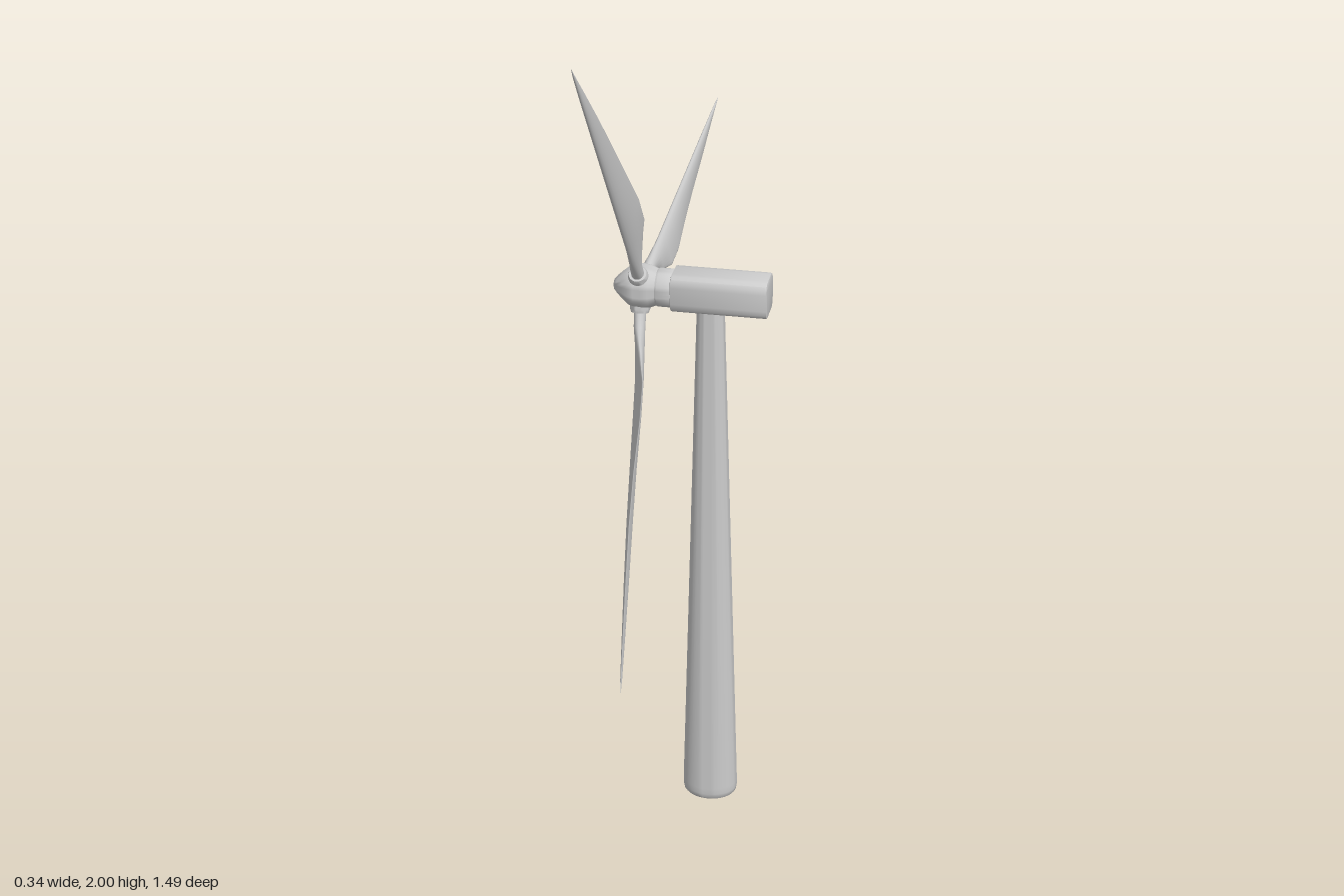
import * as THREE from 'three';
import { toCreasedNormals } from 'three/addons/utils/BufferGeometryUtils.js';

const AXIS_Y = 1.294, AXIS_Z = 0.163, ROTOR_X = -0.11;
const grey = new THREE.MeshStandardMaterial({ color: 0xcccccc });

function part(name, geometry, parent) {
  const mesh = new THREE.Mesh(geometry, grey);
  mesh.name = name;
  parent.add(mesh);
  return mesh;
}

// Revolve [radius, height] pairs, keeping sharp corners
function turned(profile, sides) {
  const points = profile.map(([r, h]) => new THREE.Vector2(r, h));
  return toCreasedNormals(new THREE.LatheGeometry(points, sides), 0.7);
}

// Square with rounded corners, extruded with a small bevel
function nacelleGeometry(length, w, h, corner, bevel) {
  const s = new THREE.Shape();
  const a = w / 2 - bevel, b = h / 2 - bevel, c = corner;
  s.moveTo(-a + c, -b);
  s.lineTo(a - c, -b).quadraticCurveTo(a, -b, a, -b + c);
  s.lineTo(a, b - c).quadraticCurveTo(a, b, a - c, b);
  s.lineTo(-a + c, b).quadraticCurveTo(-a, b, -a, b - c);
  s.lineTo(-a, -b + c).quadraticCurveTo(-a, -b, -a + c, -b);
  const g = new THREE.ExtrudeGeometry(s, {
    depth: length - 2 * bevel, bevelSize: bevel, bevelThickness: bevel,
    bevelSegments: 2, curveSegments: 4,
  });
  g.center();
  g.rotateY(Math.PI / 2);
  return toCreasedNormals(g, 0.6);
}

// Blade pointing up: airfoil loops lofted from the round root to the tip
function bladeGeometry() {
  // radius, leading edge, trailing edge, half thickness, twist
  const stations = [
    [0.04, 0.014, 0.014, 0.014, 0],
    [0.09, 0.015, 0.018, 0.013, 0.002],
    [0.14, 0.015, 0.042, 0.013, 0.014],
    [0.20, 0.013, 0.060, 0.012, 0.026],
    [0.28, 0.012, 0.065, 0.012, 0.025],
    [0.40, 0.010, 0.061, 0.011, 0.016],
    [0.52, 0.008, 0.052, 0.010, 0.010],
    [0.66, 0.006, 0.037, 0.008, 0.006],
    [0.80, 0.004, 0.018, 0.005, 0.002],
    [0.88, 0.002, 0.006, 0.003, 0],
    [0.912, 0.0005, 0.0005, 0.0005, 0],
  ];
  const n = 20, pos = [], idx = [];
  stations.forEach(([r, lead, trail, thick, twist], j) => {
    const flat = THREE.MathUtils.smoothstep(r, 0.07, 0.2);
    for (let i = 0; i < n; i++) {
      const t = (i / n) * Math.PI * 2;
      const f = (1 - Math.cos(t)) / 2;
      const taper = 1 - flat * 0.75 * f;
      pos.push(thick * Math.sin(t) * taper + twist * f, r, lead - (lead + trail) * f);
      if (j > 0) {
        const a = (j - 1) * n + i, b = (j - 1) * n + (i + 1) % n;
        idx.push(a, a + n, b, b, a + n, b + n);
      }
    }
  });
  // Close the tip
  const top = (stations.length - 1) * n;
  for (let i = 1; i < n - 1; i++) idx.push(top, top + i + 1, top + i);
  const g = new THREE.BufferGeometry();
  g.setAttribute('position', new THREE.Float32BufferAttribute(pos, 3));
  g.setIndex(idx);
  // Make the faces point outward
  const p = g.attributes.position, A = new THREE.Vector3(), B = new THREE.Vector3(), C = new THREE.Vector3();
  let volume = 0;
  for (let k = 0; k < idx.length; k += 3) {
    A.fromBufferAttribute(p, idx[k]);
    B.fromBufferAttribute(p, idx[k + 1]);
    C.fromBufferAttribute(p, idx[k + 2]);
    volume += A.dot(B.cross(C));
  }
  if (volume < 0) g.setIndex(idx.reverse());
  g.computeVertexNormals();
  return g;
}

export function createModel() {
  const model = new THREE.Group();
  model.name = 'windTurbine';

  // Tapered oval tower
  const tower = part('tower', turned([
    [0, 0], [0.057, 0], [0.061, 0.005], [0.063, 0.015], [0.063, 0.03], [0.030, 1.27], [0, 1.27],
  ], 40), model);
  tower.position.set(0.042, 0, AXIS_Z);
  tower.scale.z = 0.8;

  // Machine housing
  const nacelle = part('nacelle', nacelleGeometry(0.21, 0.087, 0.085, 0.02, 0.004), model);
  nacelle.position.set(0.065, AXIS_Y, AXIS_Z);

  // Rotor, turning about the x axis
  const rotor = new THREE.Group();
  rotor.name = 'rotor';
  rotor.position.set(ROTOR_X, AXIS_Y, AXIS_Z);
  model.add(rotor);

  // Hub with blunt nose and a neck behind it
  const hub = turned([
    [0, -0.075], [0.038, -0.075], [0.042, -0.07], [0.042, -0.04], [0.040, -0.036],
    [0.046, -0.022], [0.049, -0.005], [0.048, 0.01], [0.043, 0.024],
    [0.032, 0.038], [0.020, 0.051], [0.012, 0.058], [0, 0.061],
  ], 32);
  hub.rotateZ(Math.PI / 2);
  part('hub', hub, rotor);

  // Three blades with root collars
  const blade = bladeGeometry();
  const collar = turned([
    [0.022, 0.02], [0.022, 0.05], [0.019, 0.058], [0, 0.058],
  ], 24);
  [39.6, 162.9, -84.3].forEach((angle, i) => {
    const arm = new THREE.Group();
    arm.name = 'bladeArm' + (i + 1);
    arm.rotation.x = THREE.MathUtils.degToRad(angle);
    part('blade', blade, arm);
    part('bladeCollar', collar, arm);
    rotor.add(arm);
  });

  return model;
}
